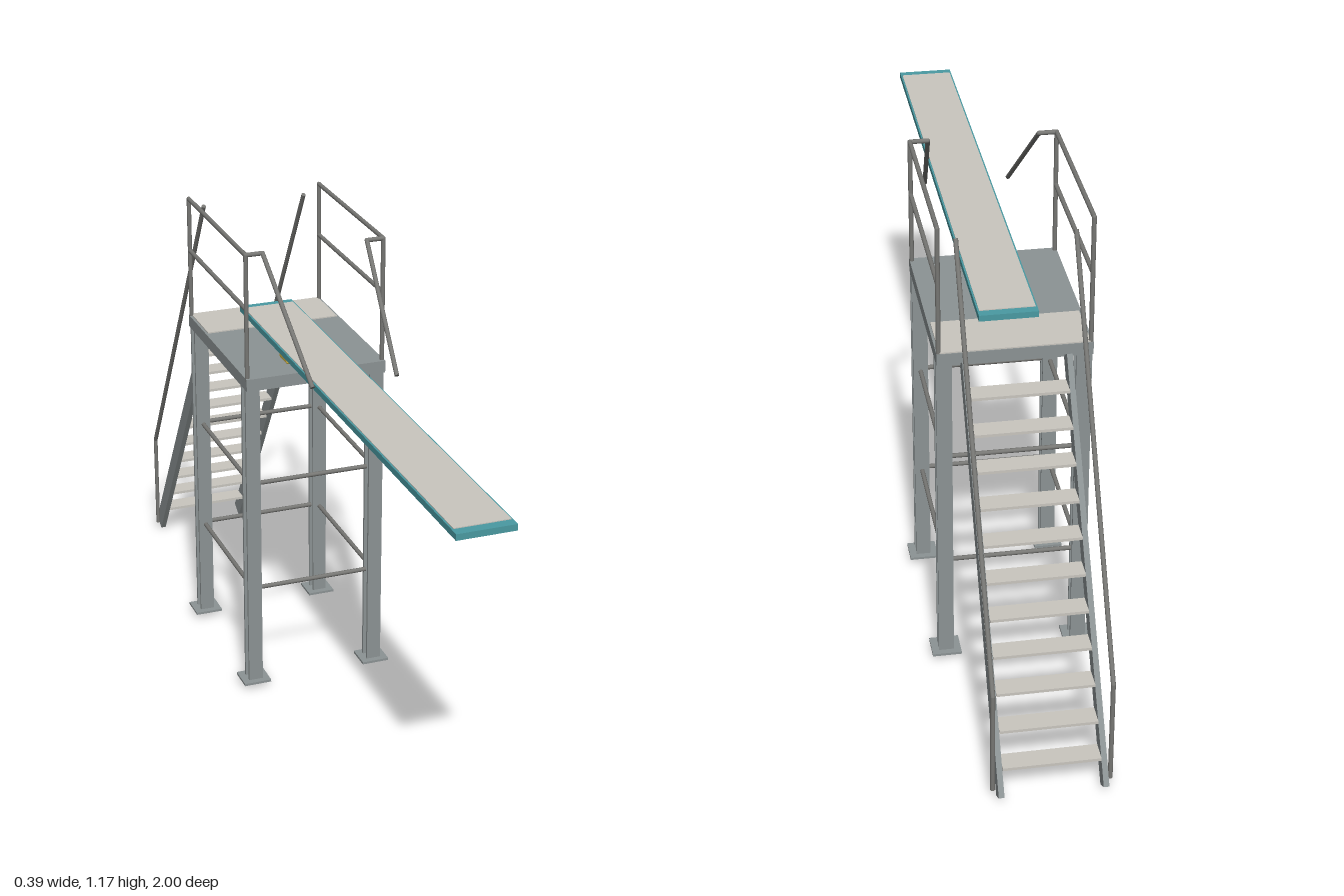
import * as THREE from 'three';
import { RoundedBoxGeometry } from 'three/addons/geometries/RoundedBoxGeometry.js';

const mat = (name, color) => Object.assign(new THREE.MeshStandardMaterial({ color }), { name });

export function createModel() {
  const model = new THREE.Group();
  model.name = 'divingPlatform';
  const steel = mat('steel grey', 0x8c9394);
  const tube = mat('rail grey', 0x777774);
  const grip = mat('pale grip', 0xc9c6bf);
  const teal = mat('teal', 0x4a9aa2);
  const yellow = mat('yellow', 0xd2b245);

  const add = (name, geo, material, parent = model) => {
    const mesh = new THREE.Mesh(geo, material);
    mesh.name = name;
    parent.add(mesh);
    return mesh;
  };
  const box = (name, size, pos, material, parent) => {
    const mesh = add(name, new THREE.BoxGeometry(...size), material, parent);
    mesh.position.set(...pos);
    return mesh;
  };
  // Straight pipes joined by small ball elbows
  const R = 0.0055;
  const pipe = (name, points, parent = model) => {
    const group = new THREE.Group();
    group.name = name;
    parent.add(group);
    const pts = points.map((p) => new THREE.Vector3(...p));
    for (let i = 0; i < pts.length - 1; i++) {
      const dir = pts[i + 1].clone().sub(pts[i]);
      const m = add('pipe', new THREE.CylinderGeometry(R, R, dir.length(), 12), tube, group);
      m.position.copy(pts[i]).addScaledVector(dir, 0.5);
      m.quaternion.setFromUnitVectors(new THREE.Vector3(0, 1, 0), dir.normalize());
      if (i > 0) add('elbow', new THREE.SphereGeometry(R, 12, 8), tube, group).position.copy(pts[i]);
    }
  };

  // Deck with a pale plate at the back
  box('deck', [0.356, 0.031, 0.46], [0, 0.8335, -0.233], steel);
  box('deckGrip', [0.344, 0.003, 0.14], [0, 0.8505, -0.391], grip);

  // H-section legs on foot plates
  const legX = 0.16, frontZ = -0.031, backZ = -0.433;
  for (const x of [-legX, legX]) for (const z of [frontZ, backZ]) {
    const leg = new THREE.Group();
    leg.name = 'leg';
    leg.position.set(x, 0, z);
    model.add(leg);
    const h = 0.8, y = 0.42;
    for (const s of [-1, 1]) box('flange', [0.036, h, 0.007], [0, y, s * 0.0142], steel, leg);
    box('web', [0.007, h, 0.022], [0, y, 0], steel, leg);
    box('footPlate', [0.07, 0.006, 0.066], [0, 0.017, 0], steel, leg);
  }

  // Two levels of bracing around the legs
  for (const y of [0.272, 0.56]) {
    for (const z of [frontZ, backZ]) pipe('crossBrace', [[-0.142, y, z], [0.142, y, z]]);
    for (const x of [-legX, legX]) pipe('sideBrace', [[x, y, frontZ - 0.017], [x, y, backZ + 0.017]]);
  }

  // Guard rails, stair rails and stringers on both sides
  const slope = Math.atan2(0.51, 0.818);
  for (const s of [-1, 1]) {
    const x = s * 0.173;
    pipe('guardRail', [[x, 0.84, -0.456], [x, 1.16, -0.456], [x, 1.16, -0.014],
      [s * 0.131, 1.16, -0.014], [s * 0.104, 0.92, 0.252]]);
    pipe('frontPost', [[x, 0.84, -0.014], [x, 1.16, -0.014]]);
    pipe('middleRail', [[x, 1.024, -0.456], [x, 1.024, -0.014]]);
    pipe('stairRail', [[s * 0.133, 1.135, -0.46], [s * 0.133, 0.28, -0.966], [s * 0.133, 0.02, -0.966]]);
    const stringer = box('stringer', [0.013, 0.964, 0.041], [s * 0.118, 0.42, -0.7275], steel);
    stringer.rotation.x = slope;
  }

  // Stair treads
  for (let i = 0; i < 11; i++) {
    box('tread', [0.222, 0.007, 0.05], [0, 0.077 + i * 0.0693, -0.946 + i * 0.0433], grip);
  }

  // Springboard, its grip surface and the fulcrum
  box('board', [0.138, 0.015, 1.376], [0, 0.8825, 0.312], teal);
  box('boardGrip', [0.13, 0.002, 1.33], [0, 0.891, 0.311], grip);
  const fulcrum = add('fulcrum', new RoundedBoxGeometry(0.113, 0.026, 0.055, 3, 0.005), yellow);
  fulcrum.position.set(0, 0.862, -0.088);

  return model;
}
